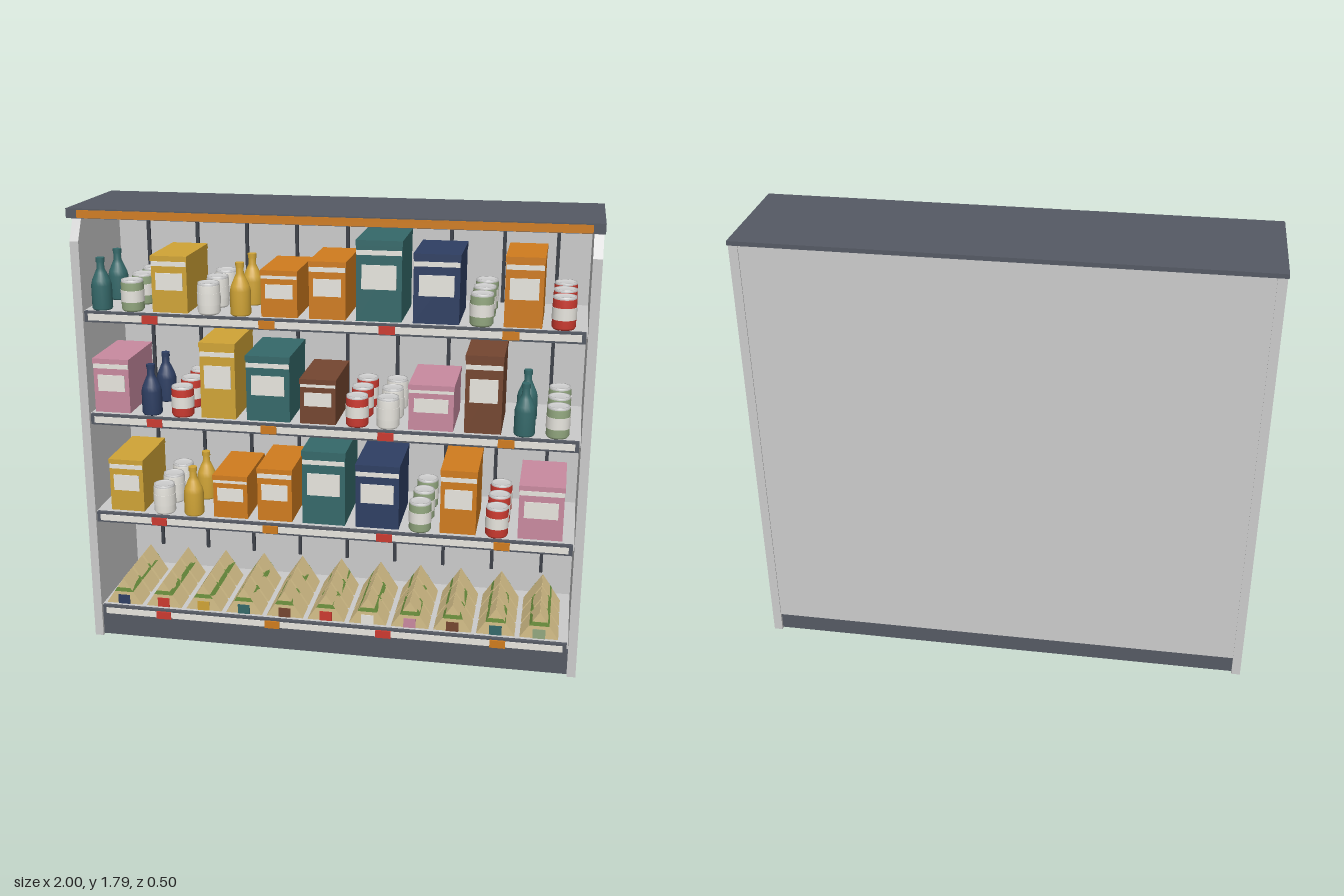
import * as THREE from 'three';

const COLORS = {
  grey: 0xcccccc, dark: 0x555a64, slot: 0x3c4048, white: 0xe8e6df, orange: 0xd07c1e, red: 0xcc3a30,
  yellow: 0xd0a436, teal: 0x35696a, navy: 0x2e3f63, pink: 0xc98aa0, brown: 0x754630,
  green: 0x93a880, leaf: 0x6f9440, tan: 0xd6c08a,
};
const mats = {};
const mat = (name) => (mats[name] ??= new THREE.MeshStandardMaterial({ color: COLORS[name] }));

function add(parent, name, geo, color, x = 0, y = 0, z = 0) {
  const mesh = new THREE.Mesh(geo, mat(color));
  mesh.name = name;
  mesh.position.set(x, y, z);
  parent.add(mesh);
  return mesh;
}

// Box given by its limits on each axis
function block(parent, name, color, [x0, x1], [y0, y1], [z0, z1]) {
  return add(parent, name, new THREE.BoxGeometry(x1 - x0, y1 - y0, z1 - z0), color,
    (x0 + x1) / 2, (y0 + y1) / 2, (z0 + z1) / 2);
}

function group(parent, name, x = 0, y = 0, z = 0) {
  const g = new THREE.Group();
  g.name = name;
  g.position.set(x, y, z);
  parent.add(g);
  return g;
}

const lathe = (pts, sides = 20) =>
  new THREE.LatheGeometry(pts.map(([r, y]) => new THREE.Vector2(r, y)), sides);

// Deep carton with lid, pale band and front label
function carton(parent, color, x, y, w, h) {
  const g = group(parent, 'carton', x, y, 0);
  const half = w / 2;
  block(g, 'cartonBody', color, [-half, half], [0, h - 0.02], [-0.09, 0.2]);
  block(g, 'cartonLid', color, [-half - 0.002, half + 0.002], [h - 0.02, h], [-0.092, 0.204]);
  block(g, 'cartonBand', 'white', [-half + 0.001, half - 0.001], [h * 0.82, h * 0.82 + 0.018], [0.19, 0.203]);
  block(g, 'cartonLabel', 'white', [-w * 0.38, w * 0.38], [h * 0.4, h * 0.7], [0.19, 0.204]);
}

// Three cans, one behind another
const canBody = lathe([[0, 0], [0.038, 0], [0.044, 0.008], [0.044, 0.11], [0.038, 0.118]]);
const canBand = new THREE.CylinderGeometry(0.0455, 0.0455, 0.045, 20);
const canTop = lathe([[0.042, 0.112], [0.042, 0.122], [0.036, 0.122], [0.036, 0.117], [0, 0.117]]);
function cans(parent, color, x, y) {
  for (const z of [0.18, 0.05, -0.08]) {
    const g = group(parent, 'can', x, y, z);
    add(g, 'canBody', canBody, color);
    add(g, 'canBand', canBand, 'white', 0, 0.06);
    add(g, 'canTop', canTop, 'grey');
  }
}

// Two bottles, one behind another
const bottleBody = lathe([[0, 0], [0.036, 0], [0.04, 0.006], [0.04, 0.095], [0.035, 0.115],
  [0.022, 0.145], [0.015, 0.16], [0.014, 0.188]]);
const bottleCap = new THREE.CylinderGeometry(0.017, 0.017, 0.018, 16);
function bottles(parent, color, x, y) {
  for (const z of [0.18, -0.01]) {
    const g = group(parent, 'bottle', x, y, z);
    add(g, 'bottleBody', bottleBody, color);
    add(g, 'bottleCap', bottleCap, color, 0, 0.193);
  }
}

// Slice across a triangular pack, between two heights
function wedge(y0, y1, depth) {
  const half = (y) => 0.076 * (1 - y / 0.115);
  const s = new THREE.Shape();
  s.moveTo(-half(y0), y0).lineTo(half(y0), y0).lineTo(half(y1), y1).lineTo(-half(y1), y1).closePath();
  return new THREE.ExtrudeGeometry(s, { depth, bevelEnabled: false }).translate(0, 0, -depth / 2);
}
const packBody = wedge(0, 0.1145, 0.11);
const packFilling = wedge(0.055, 0.072, 0.114);
const packLabel = new THREE.BoxGeometry(0.05, 0.04, 0.116);

// Goods on the three upper shelves: [kind, colour, x, width, height]
const GOODS = [
  [1.395, [['bottle', 'teal', -0.9], ['can', 'green', -0.775], ['box', 'yellow', -0.62, 0.14, 0.22],
    ['can', 'white', -0.47], ['bottle', 'yellow', -0.345], ['box', 'orange', -0.19, 0.14, 0.18],
    ['box', 'orange', -0.005, 0.14, 0.22], ['box', 'teal', 0.19, 0.172, 0.305],
    ['box', 'navy', 0.405, 0.172, 0.262], ['can', 'green', 0.572], ['box', 'orange', 0.725, 0.14, 0.262],
    ['can', 'red', 0.872]]],
  [0.978, [['box', 'pink', -0.875, 0.145, 0.22], ['bottle', 'navy', -0.717], ['can', 'red', -0.59],
    ['box', 'yellow', -0.44, 0.14, 0.305], ['box', 'teal', -0.24, 0.172, 0.262],
    ['box', 'brown', -0.043, 0.14, 0.18], ['can', 'red', 0.108], ['can', 'white', 0.228],
    ['box', 'pink', 0.395, 0.172, 0.18], ['box', 'brown', 0.592, 0.14, 0.305], ['bottle', 'teal', 0.748],
    ['can', 'green', 0.872]]],
  [0.56, [['box', 'yellow', -0.835, 0.14, 0.22], ['can', 'white', -0.683], ['bottle', 'yellow', -0.56],
    ['box', 'orange', -0.402, 0.14, 0.18], ['box', 'orange', -0.22, 0.14, 0.22],
    ['box', 'teal', -0.022, 0.172, 0.305], ['box', 'navy', 0.192, 0.172, 0.262], ['can', 'green', 0.36],
    ['box', 'orange', 0.51, 0.14, 0.262], ['can', 'red', 0.66], ['box', 'pink', 0.828, 0.172, 0.22]]],
];
const PACK_LABELS = ['navy', 'red', 'yellow', 'teal', 'brown', 'red', 'white', 'pink', 'brown', 'teal', 'green'];

// Shelf board with front price rail and coloured tags
function shelf(parent, top) {
  const g = group(parent, 'shelf', 0, top, 0);
  block(g, 'shelfBoard', 'grey', [-0.96, 0.96], [-0.025, 0], [-0.22, 0.225]);
  block(g, 'priceRail', 'dark', [-0.955, 0.955], [-0.042, 0.001], [0.222, 0.238]);
  block(g, 'priceStrip', 'white', [-0.94, 0.94], [-0.034, -0.008], [0.23, 0.241]);
  [-0.69, -0.23, 0.228, 0.685].forEach((x, i) =>
    block(g, 'priceTag', i % 2 ? 'orange' : 'red', [x - 0.031, x + 0.031], [-0.037, -0.006], [0.235, 0.246]));
}

export function createModel() {
  const model = new THREE.Group();
  model.name = 'shelfUnit';

  // Side panels with a chamfered top front corner
  const profile = new THREE.Shape();
  profile.moveTo(-0.247, 0).lineTo(0.238, 0).lineTo(0.238, 1.665).lineTo(0.195, 1.745)
    .lineTo(0.13, 1.776).lineTo(-0.247, 1.776).closePath();
  const panel = new THREE.ExtrudeGeometry(profile, { depth: 0.035, bevelEnabled: false })
    .translate(0, 0, -0.0175).rotateY(-Math.PI / 2);
  for (const side of [-1, 1]) add(model, 'sidePanel', panel, 'grey', side * 0.9785);

  // Plinth and back panel with slotted uprights
  block(model, 'plinth', 'dark', [-0.961, 0.961], [0.004, 0.1], [-0.235, 0.225]);
  block(model, 'backPanel', 'grey', [-0.961, 0.961], [0.08, 1.776], [-0.243, -0.22]);
  for (let i = -4; i <= 4; i++) {
    const x = i * 0.2085;
    block(model, 'backUpright', 'slot', [x - 0.007, x + 0.007], [0.235, 1.69], [-0.222, -0.21]);
  }

  // Canopy with front lip and coloured fascia
  block(model, 'canopy', 'dark', [-1, 1], [1.775, 1.792], [-0.25, 0.247]);
  block(model, 'canopyLip', 'dark', [-1, 1], [1.755, 1.776], [0.2, 0.247]);
  block(model, 'fascia', 'orange', [-0.957, 0.957], [1.757, 1.787], [0.24, 0.25]);

  // Upper shelves and their goods
  for (const [top, items] of GOODS) {
    shelf(model, top);
    for (const [kind, color, x, w, h] of items) {
      if (kind === 'box') carton(model, color, x, top, w, h);
      else if (kind === 'can') cans(model, color, x, top);
      else bottles(model, color, x, top);
    }
  }

  // Bottom shelf with rows of triangular packs
  shelf(model, 0.14);
  PACK_LABELS.forEach((color, i) => {
    for (const z of [0.15, 0.025, -0.1]) {
      const g = group(model, 'trianglePack', -0.872 + i * 0.1717, 0.14, z);
      add(g, 'packBody', packBody, 'tan');
      add(g, 'packFilling', packFilling, 'leaf');
      add(g, 'packLabel', packLabel, color, 0, 0.02);
    }
  });
  return model;
}
